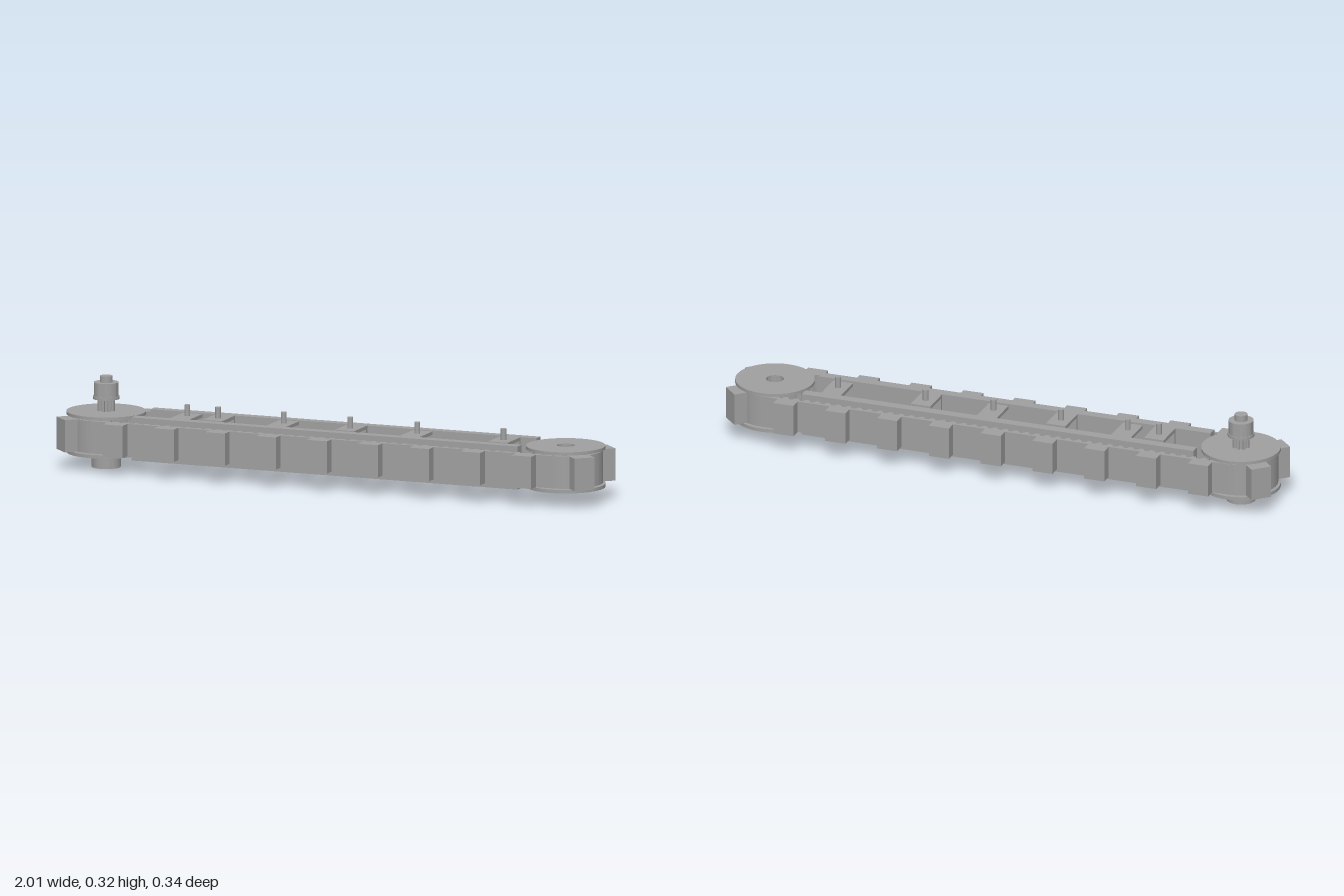
import * as THREE from 'three';
import { toCreasedNormals } from 'three/addons/utils/BufferGeometryUtils.js';

const PULLEY_X = 0.857, BELT_R = 0.128, BELT_Y0 = 0.067, BELT_Y1 = 0.18;

export function createModel() {
  const model = new THREE.Group();
  model.name = 'beltConveyor';
  const gray = new THREE.MeshStandardMaterial({ color: 0xa0a0a0 });
  gray.name = 'machined gray';

  const add = (name, geometry, x = 0, y = 0, z = 0, parent = model) => {
    const mesh = new THREE.Mesh(geometry, gray);
    mesh.name = name;
    mesh.position.set(x, y, z);
    parent.add(mesh);
    return mesh;
  };
  const box = (name, x0, x1, y0, y1, z0, z1) =>
    add(name, new THREE.BoxGeometry(x1 - x0, y1 - y0, z1 - z0), (x0 + x1) / 2, (y0 + y1) / 2, (z0 + z1) / 2);
  const cylinder = (name, x, z, r, y0, y1) =>
    add(name, new THREE.CylinderGeometry(r, r, y1 - y0, 40), x, (y0 + y1) / 2, z);
  // Solid of revolution around a vertical axis with a bore of radius r0
  const ring = (name, x, r0, r1, y0, y1) => {
    const profile = [[r0, y0], [r1, y0], [r1, y1], [r0, y1], [r0, y0]].map(p => new THREE.Vector2(...p));
    return add(name, toCreasedNormals(new THREE.LatheGeometry(profile, 56), 0.6), x);
  };
  // Plan outline pulled upwards from y0 to y1
  const extrudeUp = (shape, y0, y1) => {
    const g = new THREE.ExtrudeGeometry(shape, { depth: y1 - y0, bevelEnabled: false, curveSegments: 40 });
    g.rotateX(-Math.PI / 2);
    g.translate(0, y0, 0);
    return toCreasedNormals(g, 0.4);
  };

  // Belt: stadium outline with a toothed inside
  const belt = new THREE.Shape();
  belt.moveTo(-PULLEY_X, -BELT_R);
  belt.lineTo(PULLEY_X, -BELT_R);
  belt.absarc(PULLEY_X, 0, BELT_R, -Math.PI / 2, Math.PI / 2, false);
  belt.lineTo(-PULLEY_X, BELT_R);
  belt.absarc(-PULLEY_X, 0, BELT_R, Math.PI / 2, Math.PI * 1.5, false);
  const straight = 2 * PULLEY_X, arc = Math.PI * 0.115, half = straight + arc;
  const pathPoint = (s, r) => {
    const side = s >= half ? -1 : 1;
    const t = s % half;
    if (t < straight) return new THREE.Vector2(side * (t - PULLEY_X), -side * r);
    const a = -Math.PI / 2 + Math.PI * (t - straight) / arc;
    return new THREE.Vector2(side * (PULLEY_X + r * Math.cos(a)), side * r * Math.sin(a));
  };
  const teeth = 108, pitch = 2 * half / teeth, inner = [];
  for (let i = 0; i < teeth; i++) {
    for (const [f, r] of [[0, 0.103], [0.3, 0.103], [0.42, 0.112], [0.55, 0.117], [0.75, 0.117], [0.88, 0.112]]) {
      inner.push(pathPoint((i + f) * pitch, r));
    }
  }
  belt.holes.push(new THREE.Path(inner.reverse()));
  add('toothedBelt', extrudeUp(belt, BELT_Y0, BELT_Y1));

  // Cleats on the straight runs
  const cleatH = BELT_Y1 - BELT_Y0, cleatY = (BELT_Y0 + BELT_Y1) / 2;
  for (const side of [-1, 1]) {
    for (let i = -4; i <= 4; i++) {
      add('cleat', new THREE.BoxGeometry(0.074, cleatH, 0.046), i * 0.1905, cleatY, side * 0.146);
    }
  }
  // Cleats around the pulleys
  for (const sx of [-1, 1]) for (const sz of [-1, 1]) {
    const d = 0.143 * Math.SQRT1_2;
    const cleat = add('endCleat', new THREE.BoxGeometry(0.074, cleatH, 0.052), sx * (PULLEY_X + d), cleatY, sz * d);
    cleat.rotation.y = sx * sz * Math.PI / 4;
  }

  // Pulleys: grooved core between two flanges
  for (const side of [-1, 1]) {
    const x = side * PULLEY_X, bore = side < 0 ? 0.02 : 0.031;
    const gear = new THREE.Shape();
    const n = 22;
    for (let i = 0; i < n; i++) {
      [[0, 0.113], [0.4, 0.113], [0.55, 0.1], [0.85, 0.1]].forEach(([f, r], k) => {
        const a = (i + f) / n * Math.PI * 2;
        gear[i + k ? 'lineTo' : 'moveTo'](r * Math.cos(a), r * Math.sin(a));
      });
    }
    gear.holes.push(new THREE.Path().absarc(0, 0, bore, 0, Math.PI * 2, true));
    add('pulleyCore', extrudeUp(gear, 0.063, 0.186), x);
    ring('lowerFlange', x, bore, 0.137, 0.052, 0.064);
    ring('upperFlange', x, bore, 0.137, 0.185, 0.196);
  }

  // Drive shaft, bottom boss and top coupling
  const dx = -PULLEY_X;
  ring('bottomBoss', dx, 0.015, 0.05, 0, 0.043);
  ring('bossNeck', dx, 0.015, 0.042, 0.043, 0.053);
  cylinder('driveShaft', dx, 0, 0.022, 0.03, 0.318);
  for (let i = 0; i < 8; i++) {
    const a = i * Math.PI / 4;
    const key = add('shaftSpline', new THREE.BoxGeometry(0.014, 0.044, 0.01),
      dx + 0.023 * Math.cos(a), 0.213, -0.023 * Math.sin(a));
    key.rotation.y = a;
  }
  cylinder('shaftCollar', dx, 0, 0.023, 0.233, 0.24);
  ring('couplingRim', dx, 0.02, 0.046, 0.238, 0.248);
  ring('coupling', dx, 0.02, 0.043, 0.248, 0.296);

  // Side rails that guide the belt
  for (const side of [-1, 1]) {
    const z = [side * 0.066, side * 0.102].sort((a, b) => a - b);
    box(side > 0 ? 'frontRail' : 'backRail', -0.72, 0.72, 0.048, 0.199, z[0], z[1]);
  }

  // L-shaped mounting brackets with a pin
  const brackets = [[-0.555, 1], [-0.195, 1], [0.303, 1], [-0.44, -1], [0.053, -1], [0.625, -1]];
  for (const [x, side] of brackets) {
    const span = (a, b) => [side * a, side * b].sort((p, q) => p - q);
    box('bracketPlate', x - 0.036, x + 0.036, 0.187, 0.199, ...span(-0.05, 0.07));
    box('bracketLeg', x - 0.036, x + 0.036, 0.09, 0.188, ...span(0.054, 0.067));
    cylinder('bracketPin', x, 0, 0.01, 0.18, 0.238);
  }
  return model;
}
